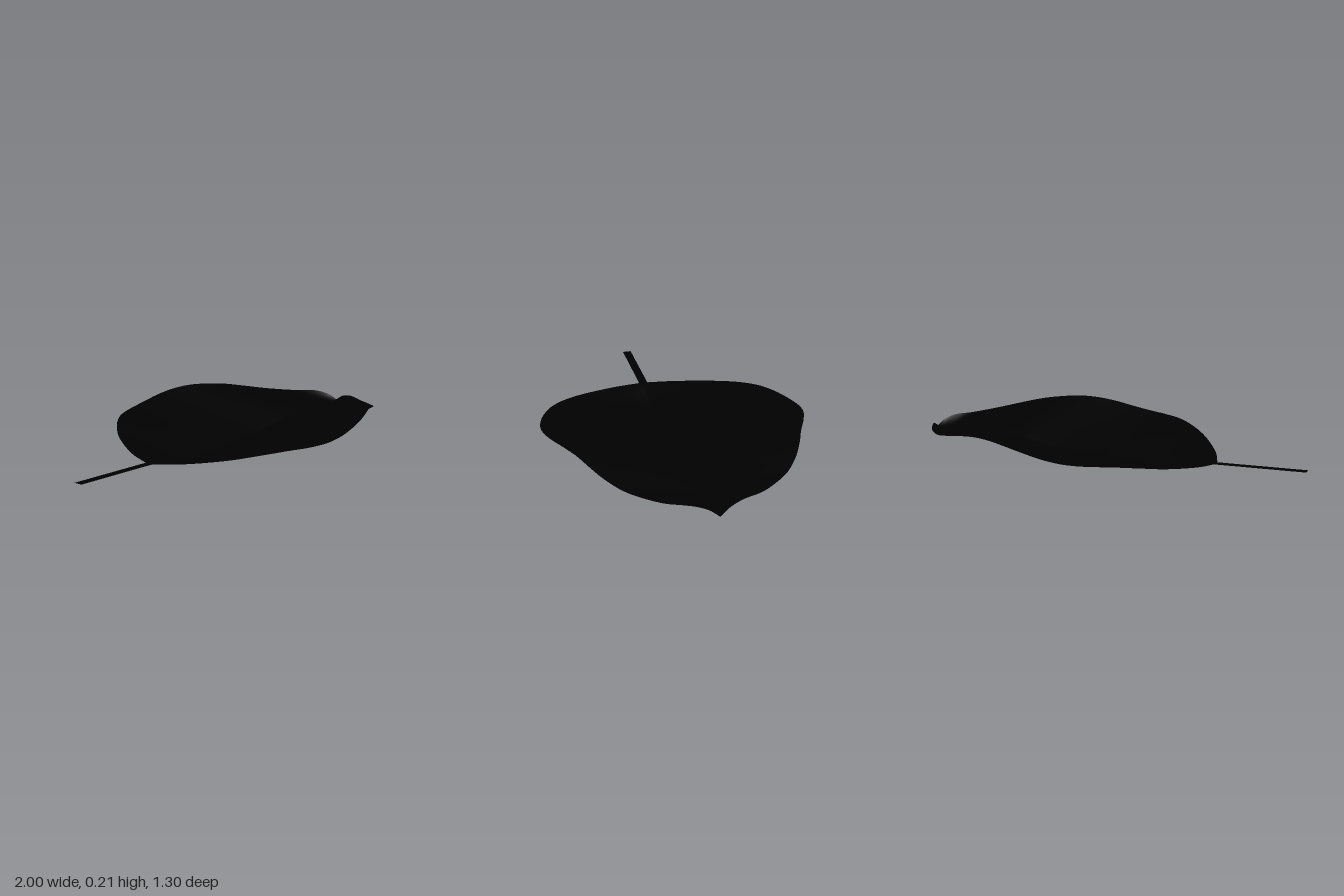
import * as THREE from 'three';

// stations along the leaf: x, half width, midrib height, margin height
const STATIONS = [
  [-0.55, 0.022, 0.04, 0.041], [-0.5, 0.17, 0.032, 0.056], [-0.4, 0.35, 0.012, 0.083],
  [-0.3, 0.47, 0.001, 0.108], [-0.2, 0.555, 0.006, 0.125], [-0.1, 0.61, 0.018, 0.132],
  [0, 0.64, 0.027, 0.14], [0.1, 0.65, 0.033, 0.156], [0.2, 0.645, 0.041, 0.178],
  [0.3, 0.625, 0.051, 0.197], [0.4, 0.588, 0.068, 0.208], [0.5, 0.54, 0.088, 0.206],
  [0.6, 0.497, 0.1, 0.195], [0.7, 0.442, 0.104, 0.176], [0.8, 0.362, 0.105, 0.157],
  [0.9, 0.232, 0.105, 0.147], [0.95, 0.13, 0.105, 0.152], [0.98, 0.054, 0.105, 0.138],
  [1, 0.001, 0.105, 0.106],
];

const leafBlack = new THREE.MeshStandardMaterial({ color: 0x000000, side: THREE.DoubleSide });
leafBlack.name = 'leaf black';

// one half of the blade, lofted from the midrib out to the margin
function halfBlade(side) {
  const curve = (pts) => new THREE.CatmullRomCurve3(pts, false, 'catmullrom', 0.5);
  const rib = curve(STATIONS.map(([x, , y]) => new THREE.Vector3(x, y, 0)));
  const margin = curve(STATIONS.map(([x, w, , y]) => new THREE.Vector3(x, y, w * side)));
  const along = 90, across = 10;
  const geo = new THREE.PlaneGeometry(1, 1, along, across);
  const pos = geo.attributes.position;
  const p = new THREE.Vector3();
  for (let i = 0; i < pos.count; i++) {
    const t = pos.getX(i) + 0.5;
    const s = side > 0 ? 0.5 - pos.getY(i) : 0.5 + pos.getY(i);
    p.copy(rib.getPoint(t)).lerp(margin.getPoint(t), s);
    pos.setXYZ(i, p.x, p.y, p.z);
  }
  geo.computeVertexNormals();
  return geo;
}

export function createModel() {
  const leaf = new THREE.Group();
  leaf.name = 'leaf';

  // blade folded along its midrib
  for (const side of [1, -1]) {
    const blade = new THREE.Mesh(halfBlade(side), leafBlack);
    blade.name = side > 0 ? 'frontBlade' : 'backBlade';
    leaf.add(blade);
  }

  // flat stalk
  const stalkGeo = new THREE.PlaneGeometry(0.455, 0.046).rotateX(-Math.PI / 2);
  const stalk = new THREE.Mesh(stalkGeo, leafBlack);
  stalk.name = 'stalk';
  stalk.position.set(-0.7725, 0.04, -0.003);
  leaf.add(stalk);
  return leaf;
}
